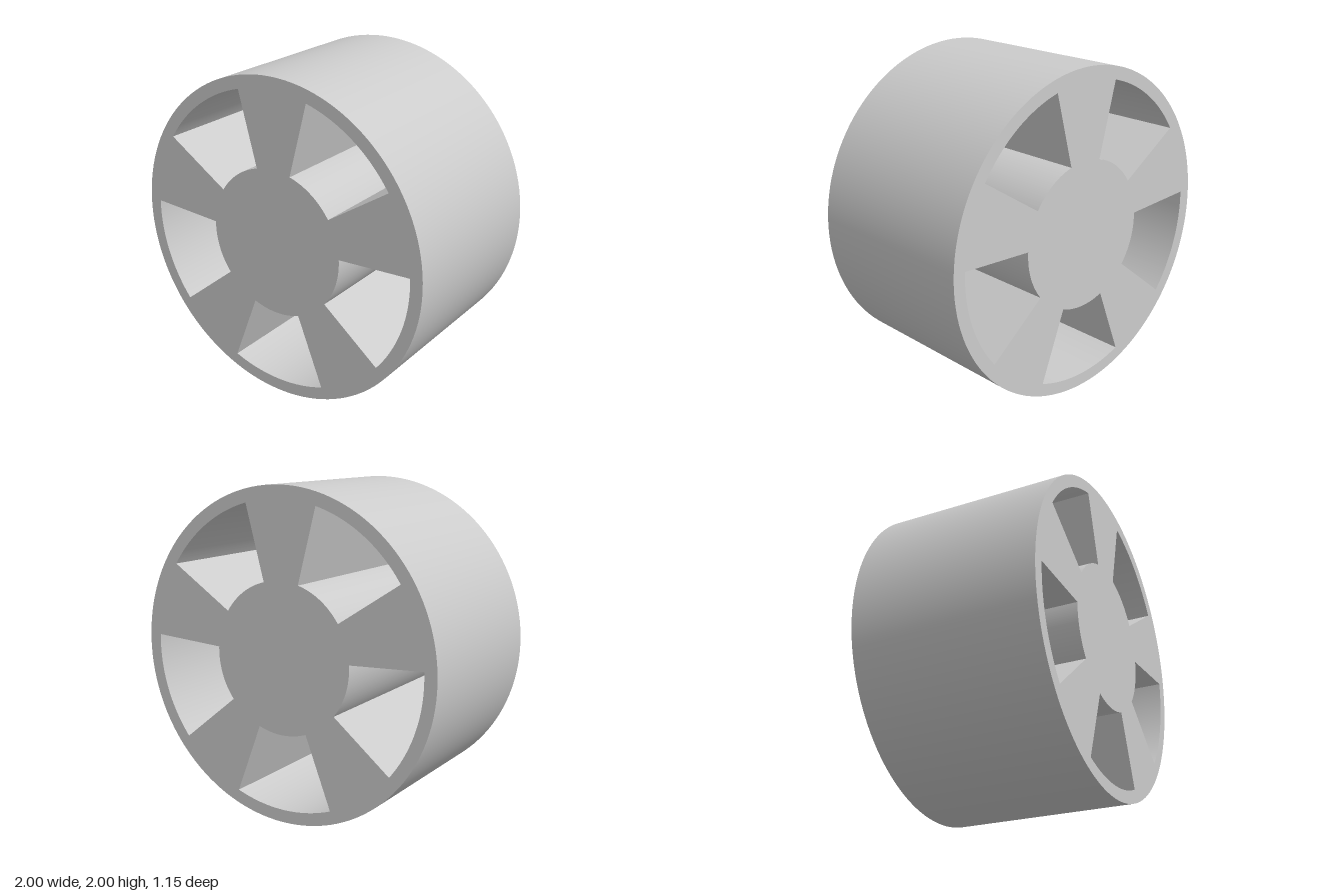
import * as THREE from 'three';
import { toCreasedNormals } from 'three/addons/utils/BufferGeometryUtils.js';

const RADIUS = 1, RIM_INNER = 0.922, HUB = 0.457, DEPTH = 1.155;
const WINDOWS = 5, HALF_ANGLE = THREE.MathUtils.degToRad(21);

// Ring-sector opening between hub and rim, centred on the given angle
function windowPath(angle) {
  const path = new THREE.Path();
  path.absarc(0, 0, RIM_INNER, angle - HALF_ANGLE, angle + HALF_ANGLE, false);
  path.absarc(0, 0, HUB, angle + HALF_ANGLE, angle - HALF_ANGLE, true);
  path.closePath();
  return path;
}

export function createModel() {
  const group = new THREE.Group();
  group.name = 'wheel';

  // Disc outline with five windows, the first pointing straight down
  const disc = new THREE.Shape();
  disc.absarc(0, 0, RADIUS, 0, Math.PI * 2, false);
  for (let i = 0; i < WINDOWS; i++) {
    disc.holes.push(windowPath(-Math.PI / 2 + (i * 2 * Math.PI) / WINDOWS));
  }

  // Hub, spokes and rim are one solid extruded along the axle
  const extruded = new THREE.ExtrudeGeometry(disc, {
    depth: DEPTH, bevelEnabled: false, curveSegments: 64,
  });
  extruded.translate(0, RADIUS, -DEPTH / 2);
  const body = new THREE.Mesh(
    toCreasedNormals(extruded, Math.PI / 6),
    new THREE.MeshStandardMaterial({ color: 0xcccccc }),
  );
  body.name = 'spokedWheelBody';
  group.add(body);
  return group;
}
